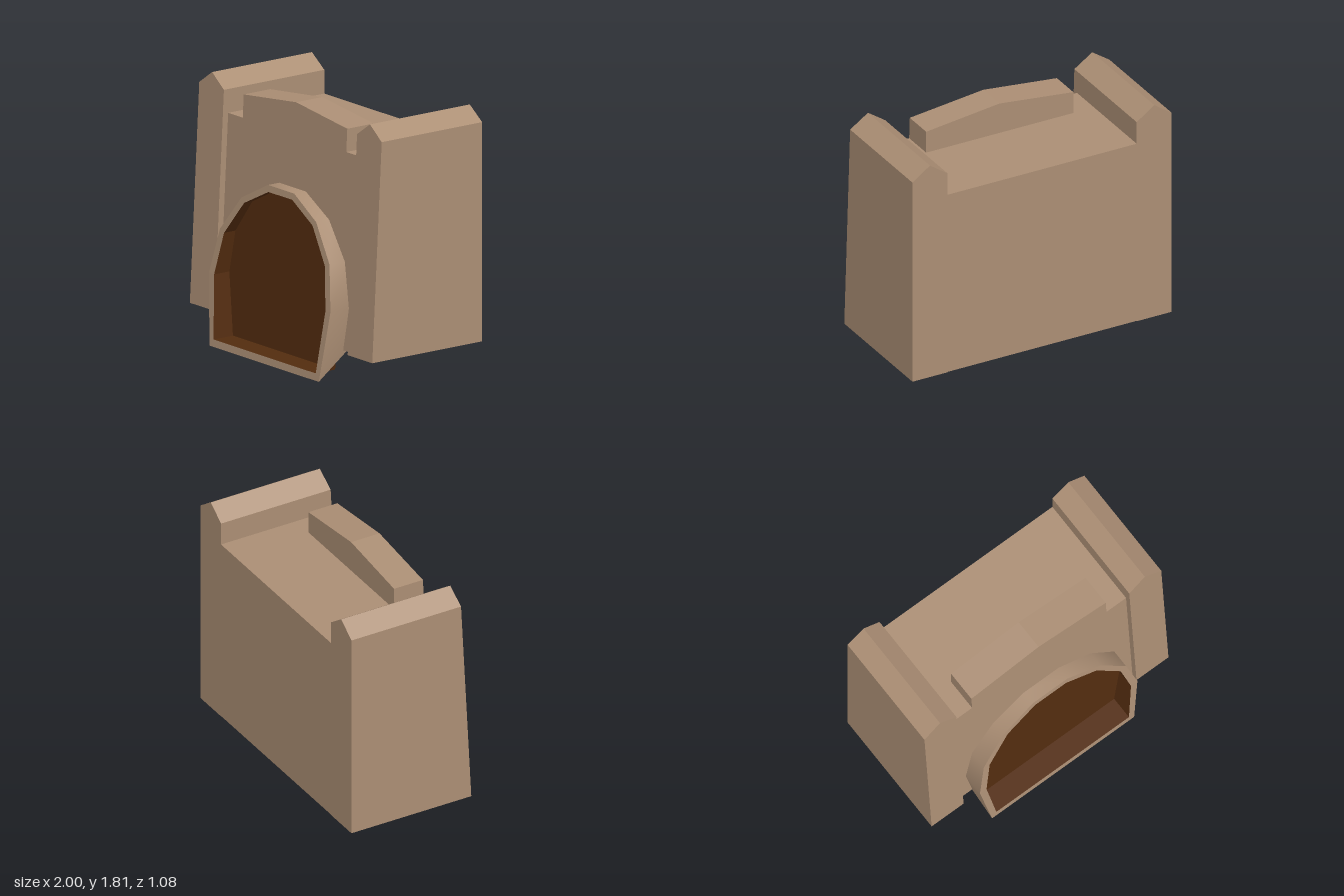
import * as THREE from 'three';

const stone = new THREE.MeshStandardMaterial({ color: 0xab8e74, side: THREE.DoubleSide });
const darkBrown = new THREE.MeshStandardMaterial({ color: 0x532c0f, side: THREE.DoubleSide });

// Extrudes an outline from zBack to a front face that leans back with height
function leaningBlock(name, points, zBack, frontZ) {
  const shape = new THREE.Shape(points.map(([x, y]) => new THREE.Vector2(x, y)));
  const geo = new THREE.ExtrudeGeometry(shape, { depth: 1, bevelEnabled: false });
  const p = geo.attributes.position;
  for (let i = 0; i < p.count; i++) p.setZ(i, p.getZ(i) > 0.5 ? frontZ(p.getY(i)) : zBack);
  geo.computeVertexNormals();
  const mesh = new THREE.Mesh(geo, stone);
  mesh.name = name;
  return mesh;
}

// Joins two outlines of equal length with a strip of quads
function strip(name, a, b, material, closed, smooth) {
  const n = a.length;
  const index = [];
  for (let i = 0; i < (closed ? n : n - 1); i++) {
    const j = (i + 1) % n;
    index.push(i, j, n + j, i, n + j, n + i);
  }
  let geo = new THREE.BufferGeometry();
  geo.setAttribute('position', new THREE.Float32BufferAttribute([...a, ...b].flat(), 3));
  geo.setIndex(index);
  if (!smooth) geo = geo.toNonIndexed();
  geo.computeVertexNormals();
  const mesh = new THREE.Mesh(geo, material);
  mesh.name = name;
  return mesh;
}

// Mirrors a right-hand half outline, going from right foot over the top to left foot
const mirrored = half => [...half, ...half.map(([x, y]) => [-x, y]).reverse()];

export function createModel() {
  const group = new THREE.Group();
  const wallFront = y => 0.36 - 0.0525 * y;
  const pillarFront = y => 0.405 - 0.0525 * y;

  // Main wall and its peaked parapet
  group.add(leaningBlock('mainWall',
    [[-0.73, 0.193], [0.73, 0.193], [0.73, 1.55], [-0.73, 1.55]], -0.54, wallFront));
  group.add(leaningBlock('parapet',
    [[-0.57, 1.55], [0.565, 1.55], [0.565, 1.71], [0, 1.775], [-0.57, 1.71]], 0.045, wallFront));

  // Side pillars with gabled tops
  for (const s of [1, -1]) {
    const outline = [[0.73, 0.19], [1, 0.19], [1, 1.715], [0.865, 1.81], [0.73, 1.715]]
      .map(([x, y]) => [s * x, y]);
    group.add(leaningBlock(s > 0 ? 'leftPillar' : 'rightPillar', outline, -0.54, pillarFront));
  }

  // Arched entrance
  const outer = mirrored([[0.6, 0], [0.665, 0.49], [0.6, 0.8], [0.41, 1.05], [0.145, 1.19]]);
  const inner = mirrored([[0.56, 0.05], [0.61, 0.485], [0.553, 0.78], [0.375, 1.02], [0.13, 1.145]]);
  const mouthZ = y => (y < 0.49 ? 0.54 - 0.1 * y : 0.491 - 0.137 * (y - 0.49));
  const pocketZ = y => 0.37 - 0.025 * Math.max(0, y - 0.15);

  const outerFront = outer.map(([x, y]) => [x, y, mouthZ(y)]);
  const outerBack = outer.map(([x, y]) => (y === 0
    ? [Math.sign(x) * 0.62, 0.185, 0.315]
    : [x, y, 0.28]));
  const innerFront = inner.map(([x, y]) => [x, y, mouthZ(y)]);
  const innerBack = inner.map(([x, y]) => [x, y, pocketZ(y)]);

  const entrance = new THREE.Group();
  entrance.name = 'entrance';
  entrance.add(strip('archShell', outerFront, outerBack, stone, false, true));
  entrance.add(strip('archRim', outerFront, innerFront, stone, true, false));
  entrance.add(strip('recessSides', innerFront, innerBack, darkBrown, true, false));

  // Back panel of the recess
  const panel = new THREE.ShapeGeometry(
    new THREE.Shape(inner.map(([x, y]) => new THREE.Vector2(x, y))));
  const p = panel.attributes.position;
  for (let i = 0; i < p.count; i++) p.setZ(i, pocketZ(p.getY(i)));
  panel.computeVertexNormals();
  const back = new THREE.Mesh(panel, darkBrown);
  back.name = 'recessBack';
  entrance.add(back);

  group.add(entrance);
  return group;
}
